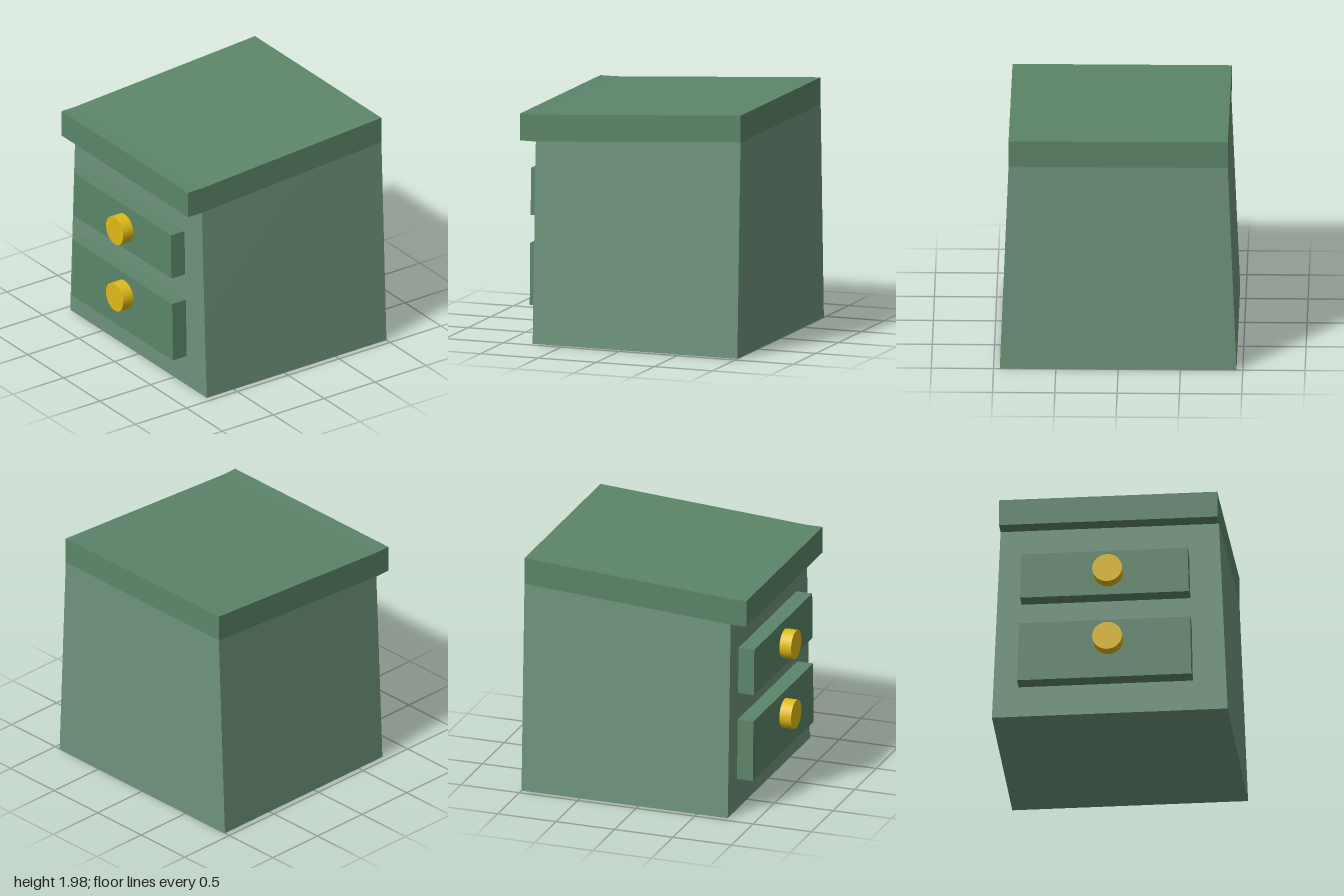
import * as THREE from 'three';

const paint = (color) => new THREE.MeshStandardMaterial({ color });
const BODY = paint(0x6e947b);
const TRIM = paint(0x5c8569);
const BRASS = paint(0xdfbb18);

const FRONT = 0.765, LIP = 0.9, BACK = -1, TOP_HALF = 0.88;

// Box whose corners are moved by a rule: place(sx, sy, sz) gives the corner for signs of -1 or 1
function shapedBox(name, material, place) {
  const geometry = new THREE.BoxGeometry(2, 2, 2);
  const p = geometry.attributes.position;
  for (let i = 0; i < p.count; i++) {
    p.setXYZ(i, ...place(Math.sign(p.getX(i)), Math.sign(p.getY(i)), Math.sign(p.getZ(i))));
  }
  geometry.computeVertexNormals();
  const mesh = new THREE.Mesh(geometry, material);
  mesh.name = name;
  return mesh;
}

// Drawer front, a little wider at the bottom, with a round knob
function drawer(name, y0, y1, bottom, top, knobY) {
  const group = new THREE.Group();
  group.name = name;
  group.add(shapedBox('drawerFront', TRIM, (sx, sy, sz) => {
    const [left, right] = sy > 0 ? top : bottom;
    return [sx > 0 ? right : left, sy > 0 ? y1 : y0, sz > 0 ? LIP : FRONT];
  }));
  const knob = new THREE.Mesh(new THREE.CylinderGeometry(0.12, 0.12, 0.1, 32), BRASS);
  knob.name = 'knob';
  knob.rotation.x = Math.PI / 2;
  knob.position.set(0, knobY, LIP + 0.05);
  group.add(knob);
  return group;
}

export function createModel() {
  const model = new THREE.Group();
  model.name = 'nightstand';

  // Cabinet: tapered sides, top sloping up to the back
  model.add(shapedBox('cabinet', BODY, (sx, sy, sz) => [
    sx * (sy > 0 ? TOP_HALF : 0.95),
    sy > 0 ? (sz > 0 ? 1.64 : 1.755) : 0,
    sz > 0 ? FRONT : BACK,
  ]));

  // Lid: side profile (z, y) with a level front lip, extruded across the width
  const profile = new THREE.Shape([
    [LIP, 1.64], [LIP, 1.86], [FRONT, 1.86], [BACK, 1.975], [BACK, 1.755], [FRONT, 1.64],
  ].map(([z, y]) => new THREE.Vector2(z, y)));
  const lidGeometry = new THREE.ExtrudeGeometry(profile, { depth: 2 * TOP_HALF, bevelEnabled: false });
  lidGeometry.rotateY(-Math.PI / 2).translate(TOP_HALF, 0, 0);
  const lid = new THREE.Mesh(lidGeometry, TRIM);
  lid.name = 'lid';
  model.add(lid);

  // Drawers
  model.add(drawer('upperDrawer', 0.99, 1.375, [-0.71, 0.65], [-0.7, 0.64], 1.18));
  model.add(drawer('lowerDrawer', 0.26, 0.765, [-0.735, 0.67], [-0.72, 0.66], 0.58));

  return model;
}
